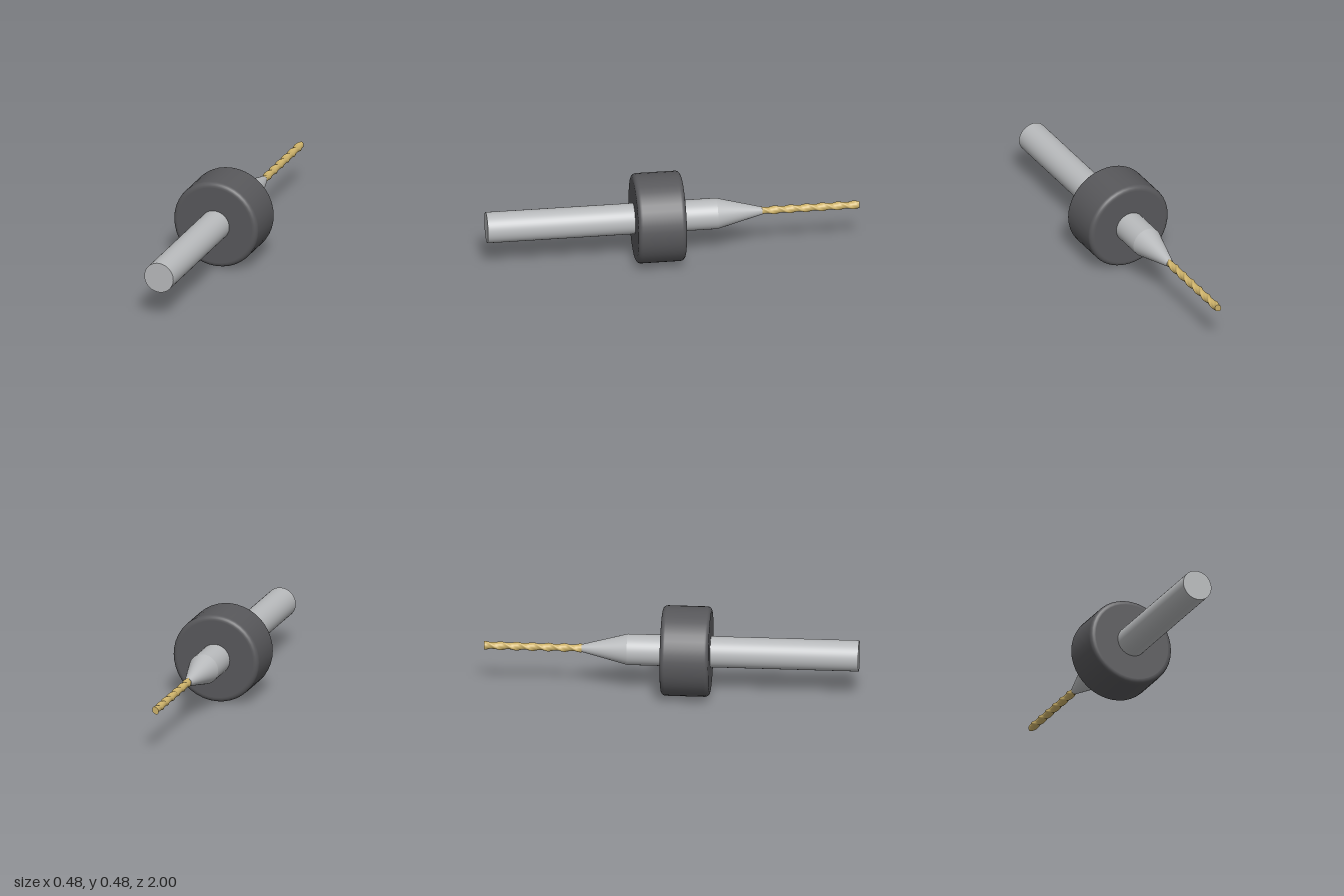
import * as THREE from 'three';

const steel = new THREE.MeshStandardMaterial({ color: 0xb8babc });
steel.name = 'steel';
const darkPlastic = new THREE.MeshStandardMaterial({ color: 0x58585b });
darkPlastic.name = 'darkPlastic';
const gold = new THREE.MeshStandardMaterial({ color: 0xcdb26a });
gold.name = 'gold';

// The tool is modelled along +y and then laid down so that +y becomes -z.
function addPart(group, name, geometry, material, start) {
  geometry.rotateX(-Math.PI / 2);
  const mesh = new THREE.Mesh(geometry, material);
  mesh.name = name;
  mesh.position.z = -start;
  group.add(mesh);
}

// Cylinder or cone standing on y = 0
function rod(bottomRadius, topRadius, length, sides = 48, rows = 1) {
  return new THREE.CylinderGeometry(topRadius, bottomRadius, length, sides, rows)
    .translate(0, length / 2, 0);
}

// Collar profile with rounded rims
function collarGeometry(inner, outer, length, bevel) {
  const points = [new THREE.Vector2(inner, 0), new THREE.Vector2(outer - bevel - 0.002, 0)];
  const arc = (centerY, from) => {
    for (let i = 0; i <= 6; i++) {
      const a = from + (i / 6) * Math.PI / 2;
      points.push(new THREE.Vector2(outer - bevel + Math.cos(a) * bevel, centerY + Math.sin(a) * bevel));
    }
  };
  arc(bevel, -Math.PI / 2);
  arc(length - bevel, 0);
  points.push(new THREE.Vector2(outer - bevel - 0.002, length), new THREE.Vector2(inner, length));
  return new THREE.LatheGeometry(points, 40);
}

// Round core with two raised ridges winding along it
function twistedBit(length, core, ridge, pitch) {
  const geometry = rod(1, 1, length, 40, 140);
  const p = geometry.attributes.position;
  for (let i = 0; i < p.count; i++) {
    const angle = Math.atan2(p.getX(i), p.getZ(i));
    const phase = angle - (p.getY(i) / pitch) * Math.PI * 2;
    const radius = core + ridge * Math.abs(Math.cos(phase)) ** 6;
    p.setX(i, p.getX(i) * radius);
    p.setZ(i, p.getZ(i) * radius);
  }
  geometry.computeVertexNormals();
  return geometry;
}

export function createModel() {
  const tool = new THREE.Group();
  tool.name = 'drillBit';
  const axis = new THREE.Group();
  axis.name = 'toolAxis';
  axis.position.y = 0.242;
  tool.add(axis);

  addPart(axis, 'shank', rod(0.083, 0.083, 1.235), steel, -1);
  addPart(axis, 'taper', rod(0.083, 0.02, 0.245), steel, 0.235);
  addPart(axis, 'collar', collarGeometry(0.08, 0.241, 0.26, 0.025), darkPlastic, -0.21);
  addPart(axis, 'twistedBit', twistedBit(0.525, 0.0175, 0.0055, 0.17), gold, 0.475);
  return tool;
}
